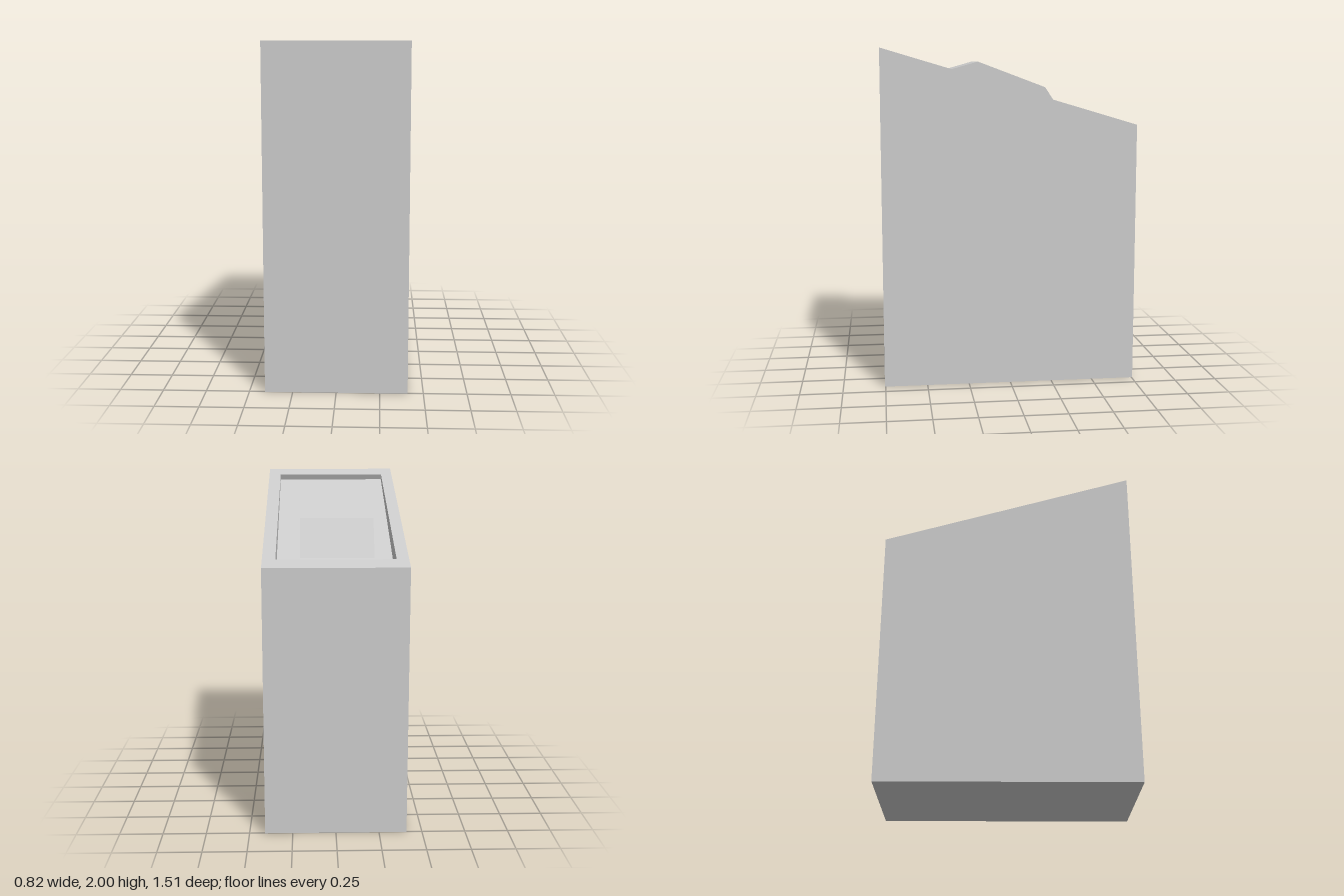
import * as THREE from 'three';

const material = () => new THREE.MeshStandardMaterial({ color: 0xcccccc, flatShading: true });

// Four corners, anticlockwise from above, with separate front and back heights
const ring = (x0, x1, zBack, zFront, yBack, yFront) => [
  [x0, yFront, zFront], [x1, yFront, zFront], [x1, yBack, zBack], [x0, yBack, zBack],
];

// Joins successive rings with quads and closes both ends
function loft(rings) {
  const points = [];
  const quad = (a, b, c, d) => points.push(...a, ...b, ...c, ...a, ...c, ...d);
  for (let r = 0; r < rings.length - 1; r++) {
    for (let i = 0; i < 4; i++) {
      const j = (i + 1) % 4;
      quad(rings[r][i], rings[r][j], rings[r + 1][j], rings[r + 1][i]);
    }
  }
  quad(...[...rings[0]].reverse());
  quad(...rings[rings.length - 1]);
  const geometry = new THREE.BufferGeometry();
  geometry.setAttribute('position', new THREE.Float32BufferAttribute(points, 3));
  geometry.computeVertexNormals();
  return geometry;
}

export function createModel() {
  const group = new THREE.Group();
  const rimY = (z) => 1.775 + 0.298 * z;
  const floorY = (z) => 1.691 + 0.37 * z;

  // Wedge-topped housing with a tilted recess in its sloping top
  const housing = new THREE.Mesh(loft([
    ring(-0.41, 0.41, -0.755, 0.755, 0, 0),
    ring(-0.41, 0.41, -0.755, 0.755, 1.55, 2),
    ring(-0.34, 0.335, -0.65, 0.645, rimY(-0.65), rimY(0.645)),
    ring(-0.34, 0.335, -0.61, 0.66, floorY(-0.61), floorY(0.66)),
  ]), material());
  housing.name = 'housing';
  group.add(housing);

  // Bevel-ended raised block on the recess floor, profile drawn as (z, y)
  const profile = new THREE.Shape([
    [-0.38, floorY(-0.38)], [0.425, floorY(0.425)], [0.17, 1.92], [-0.237, 1.767],
  ].map(([z, y]) => new THREE.Vector2(z, y)));
  const blockGeometry = new THREE.ExtrudeGeometry(profile, { depth: 0.435, bevelEnabled: false });
  blockGeometry.rotateY(-Math.PI / 2).translate(0.2, 0, 0);
  const block = new THREE.Mesh(blockGeometry, material());
  block.name = 'raisedBlock';
  group.add(block);

  return group;
}
